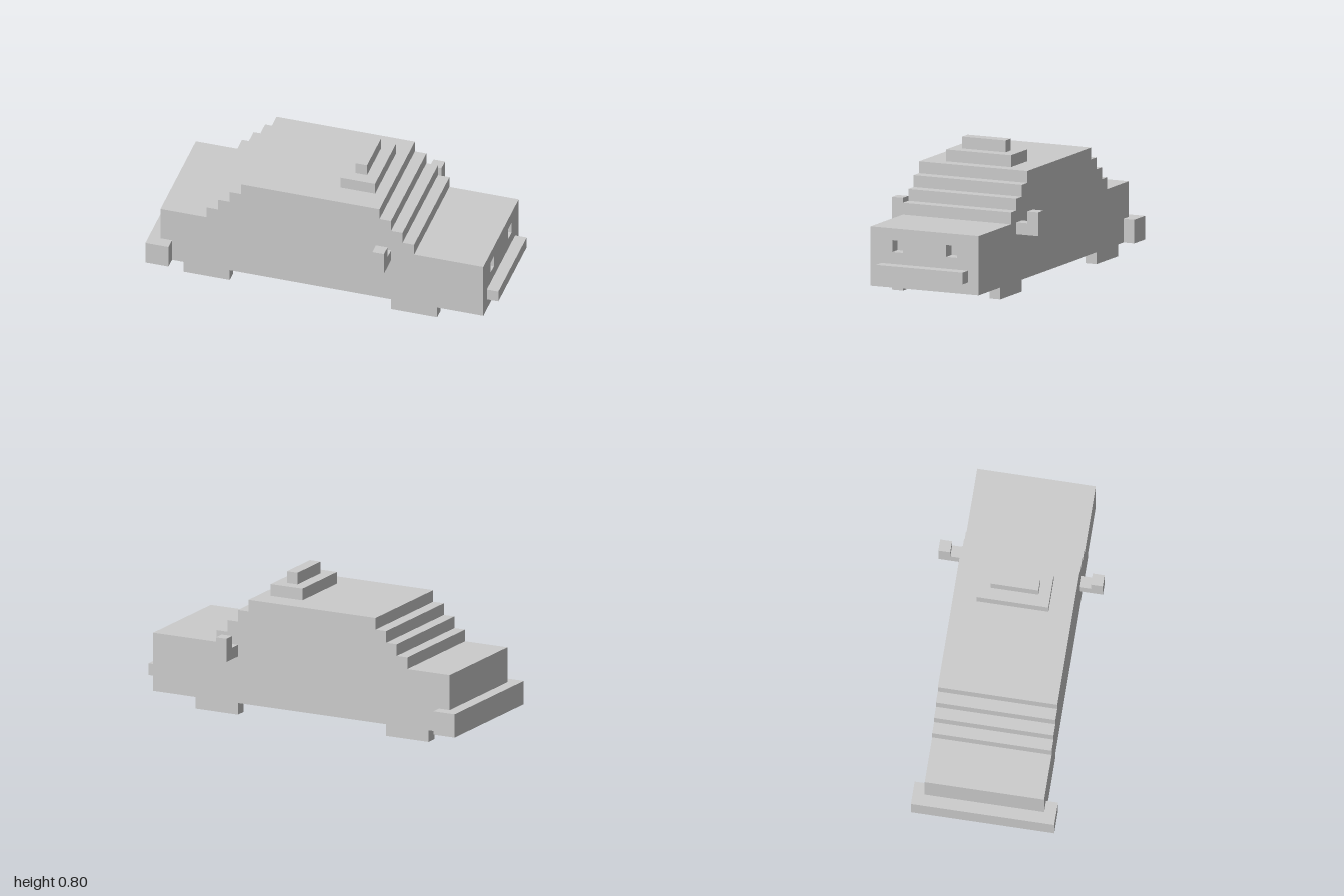
import * as THREE from 'three';

const U = 1 / 15; // one block of the grid

export function createModel() {
  const car = new THREE.Group();
  car.name = 'blockCar';
  const material = new THREE.MeshStandardMaterial({ color: 0xcccccc, flatShading: true });

  const add = (name, geometry) => {
    const mesh = new THREE.Mesh(geometry.scale(U, U, U), material);
    mesh.name = name;
    car.add(mesh);
  };
  // Box given by its block ranges
  const box = (name, [x0, x1], [y0, y1], [z0, z1]) =>
    add(name, new THREE.BoxGeometry(x1 - x0, y1 - y0, z1 - z0)
      .translate((x0 + x1) / 2, (y0 + y1) / 2, (z0 + z1) / 2));
  const outline = (points) => new THREE.Shape(points.map(([x, y]) => new THREE.Vector2(x, y)));
  const extrude = (shape, depth) => new THREE.ExtrudeGeometry(shape, { depth, bevelEnabled: false });

  // Body and cabin: stepped side profile
  const profile = [[-14, 1], [13, 1], [13, 6]];
  for (let i = 0; i < 4; i++) profile.push([8 - i, 6 + i], [8 - i, 7 + i]);
  for (let i = 3; i >= 0; i--) profile.push([i - 10, 7 + i], [i - 10, 6 + i]);
  profile.push([-14, 6]);
  add('body', extrude(outline(profile), 10).translate(0, 0, -5));

  // Nose panel with two recessed headlights
  const nose = outline([[-5, 1], [5, 1], [5, 6], [-5, 6]]);
  for (const z of [-3, 2]) {
    nose.holes.push(new THREE.Path([[z, 4], [z, 5], [z + 1, 5], [z + 1, 4]]
      .map(([x, y]) => new THREE.Vector2(x, y))));
  }
  add('nosePanel', extrude(nose, 1).rotateY(Math.PI / 2).translate(13, 0, 0));

  // Bumpers: a bar in front, a wraparound at the rear
  box('frontBumper', [14, 15], [2, 3], [-4, 4]);
  const wrap = outline([[-15, -6], [-13, -6], [-13, -5], [-14, -5],
    [-14, 5], [-13, 5], [-13, 6], [-15, 6]]);
  add('rearBumper', extrude(wrap, 2).rotateX(-Math.PI / 2).translate(0, 1, 0));

  // Roof sign
  box('roofSignBase', [1, 4], [10, 11], [-3, 3]);
  box('roofSignTop', [2, 3], [11, 12], [-2, 2]);

  // Wheels
  for (const [end, x] of [['rear', -12], ['front', 6]]) {
    box(end + 'LeftWheel', [x, x + 4], [0, 1], [-5, -4]);
    box(end + 'RightWheel', [x, x + 4], [0, 1], [4, 5]);
  }

  // L-shaped side mirrors, one block apart along the car
  const mirror = (name, side, x) => add(name,
    extrude(outline([[5, 5], [7, 5], [7, 7], [6, 7], [6, 6], [5, 6]]), 1)
      .translate(0, 0, -0.5).rotateY(-side * Math.PI / 2).translate(x + 0.5, 0, 0));
  mirror('nearMirror', 1, 5);
  mirror('farMirror', -1, 6);

  return car;
}
